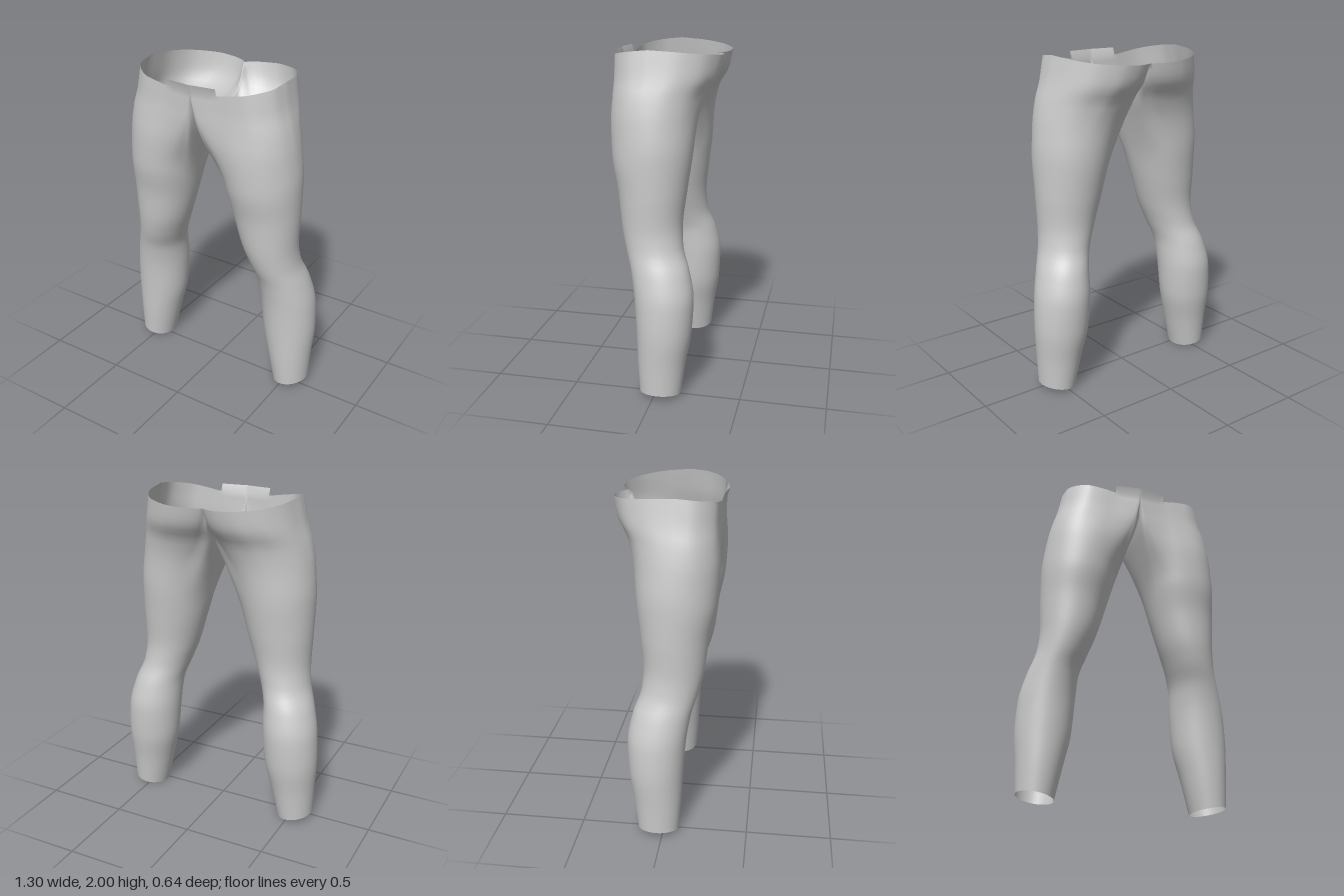
import * as THREE from 'three';
import { mergeVertices } from 'three/addons/utils/BufferGeometryUtils.js';

const COLS = 64, ROWS = 56;

// Leg sections: height, inner x, outer x, back z, front z
const SECTIONS = [
  [0.00, 0.415, 0.63, -0.15, 0.09],
  [0.20, 0.37, 0.64, -0.175, 0.105],
  [0.40, 0.325, 0.652, -0.207, 0.115],
  [0.58, 0.31, 0.643, -0.215, 0.128],
  [0.75, 0.30, 0.605, -0.185, 0.155],
  [0.88, 0.26, 0.562, -0.14, 0.195],
  [1.00, 0.215, 0.55, -0.13, 0.222],
  [1.20, 0.155, 0.557, -0.15, 0.247],
  [1.40, 0.10, 0.56, -0.175, 0.285],
  [1.60, 0.04, 0.542, -0.192, 0.295],
  [1.74, 0.00, 0.515, -0.225, 0.286],
  [1.85, -0.02, 0.482, -0.285, 0.28],
  [2.00, -0.04, 0.45, -0.315, 0.28],
];

// Upper edge of one half, by column: waist rim, then the midline between the legs
const EDGE = [
  [0, 0.45, 2.0, 0.05], [4, 0.44, 1.99, 0.15], [8, 0.38, 1.975, 0.235],
  [12, 0.31, 1.96, 0.275], [16, 0.22, 1.945, 0.285], [19, 0.16, 1.935, 0.287],
  [24, 0, 1.93, 0.305], [28, 0, 1.82, 0.26], [32, 0, 1.74, 0.08],
  [36, 0, 1.76, -0.08], [40, 0, 1.83, -0.2], [44, 0, 1.95, -0.26],
  [48, 0.11, 1.955, -0.316], [50, 0.18, 1.96, -0.32], [53, 0.28, 1.967, -0.287],
  [56, 0.36, 1.975, -0.23], [60, 0.43, 1.99, -0.1], [64, 0.45, 2.0, 0.05],
];

// Smooth interpolation through keyed rows without overshoot
function sample(rows, t) {
  let i = 0;
  while (i < rows.length - 2 && t > rows[i + 1][0]) i++;
  const a = rows[i], b = rows[i + 1], h = b[0] - a[0];
  const s = Math.min(1, Math.max(0, (t - a[0]) / h));
  const slope = (j, c) => (rows[j + 1][c] - rows[j][c]) / (rows[j + 1][0] - rows[j][0]);
  const tangent = (j, c) => {
    if (j === 0) return slope(0, c);
    if (j === rows.length - 1) return slope(j - 1, c);
    const p = slope(j - 1, c), q = slope(j, c);
    return p * q > 0 ? (2 * p * q) / (p + q) : 0;
  };
  return a.slice(1).map((v, k) => {
    const c = k + 1, s2 = s * s, s3 = s2 * s;
    return v * (2 * s3 - 3 * s2 + 1) + b[c] * (3 * s2 - 2 * s3)
      + h * (tangent(i, c) * (s3 - 2 * s2 + s) + tangent(i + 1, c) * (s3 - s2));
  });
}

function sectionPoint(y, angle) {
  const [x0, x1, z0, z1] = sample(SECTIONS, y);
  return [
    (x0 + x1) / 2 + Math.cos(angle) * (x1 - x0) / 2,
    y,
    (z0 + z1) / 2 + Math.sin(angle) * (z1 - z0) / 2,
  ];
}

// One vertical line of points, eased onto the upper edge
function column(k) {
  const angle = ((k % COLS) / COLS) * Math.PI * 2;
  const edge = sample(EDGE, k % COLS);
  const end = sectionPoint(edge[1], angle);
  const bottom = 0.018 + 0.018 * Math.cos(angle);
  const points = [];
  for (let r = 0; r <= ROWS; r++) {
    const v = r / ROWS;
    const p = sectionPoint(bottom + (edge[1] - bottom) * v, angle);
    const w = THREE.MathUtils.smoothstep(v, 0.72, 1);
    points.push([
      Math.max(0, p[0] + (edge[0] - end[0]) * w), p[1], p[2] + (edge[2] - end[2]) * w,
    ]);
  }
  // Raised front flap above the rim
  points.push([edge[0], 1.978, edge[2] + 0.015]);
  return points;
}

function addHalf(positions, indices, side) {
  const base = positions.length / 3, stride = ROWS + 2;
  for (let k = 0; k <= COLS; k++) {
    for (const [x, y, z] of column(k)) positions.push(side * x, y, z);
  }
  for (let k = 0; k < COLS; k++) {
    const top = k >= 19 && k < 24 ? ROWS + 1 : ROWS;
    for (let r = 0; r < top; r++) {
      const a = base + k * stride + r, b = a + 1, c = a + stride, d = c + 1;
      if (side > 0) indices.push(a, b, c, b, d, c);
      else indices.push(a, c, b, b, c, d);
    }
  }
}

export function createModel() {
  const group = new THREE.Group();
  group.name = 'legsModel';

  // Both halves share welded seams so the shading runs across the middle
  const positions = [], indices = [];
  addHalf(positions, indices, 1);
  addHalf(positions, indices, -1);
  let geometry = new THREE.BufferGeometry();
  geometry.setAttribute('position', new THREE.Float32BufferAttribute(positions, 3));
  geometry.setIndex(indices);
  geometry = mergeVertices(geometry, 1e-4);
  geometry.computeVertexNormals();

  const legs = new THREE.Mesh(geometry, new THREE.MeshStandardMaterial({
    color: 0xcccccc, side: THREE.DoubleSide,
  }));
  legs.name = 'legsAndHips';
  group.add(legs);
  return group;
}
